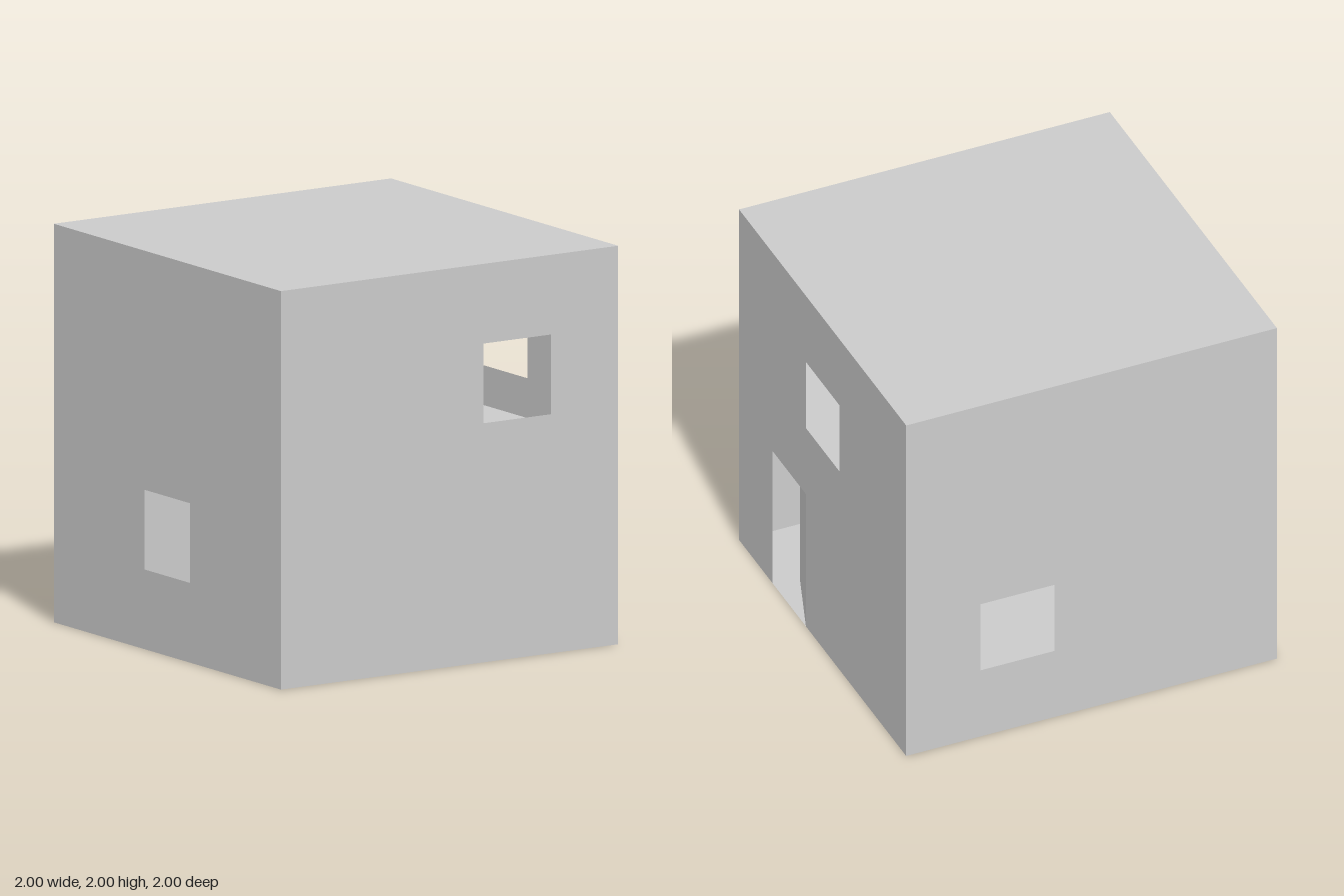
import * as THREE from 'three';

const material = new THREE.MeshStandardMaterial({ color: 0xcccccc, side: THREE.DoubleSide, flatShading: true });

// Rectangular window opening, given by its left and bottom edge
function windowHole(u, y, size = 0.4) {
  return new THREE.Path([[u, y], [u, y + size], [u + size, y + size], [u + size, y]]
    .map(([a, b]) => new THREE.Vector2(a, b)));
}

// Thin 2 x 2 wall facing outwards at the given turn about y
function makeWall(name, turn, windows, doorway = []) {
  const outline = [[-1, 0], ...doorway, [1, 0], [1, 2], [-1, 2]];
  const shape = new THREE.Shape(outline.map(([a, b]) => new THREE.Vector2(a, b)));
  for (const [u, y] of windows) shape.holes.push(windowHole(u, y));
  const geometry = new THREE.ShapeGeometry(shape).translate(0, 0, 1).rotateY(turn);
  const mesh = new THREE.Mesh(geometry, material);
  mesh.name = name;
  return mesh;
}

// Thin horizontal slab
function makeSlab(name, y, facing) {
  const geometry = new THREE.PlaneGeometry(2, 2).rotateX(-facing * Math.PI / 2).translate(0, y, 0);
  const mesh = new THREE.Mesh(geometry, material);
  mesh.name = name;
  return mesh;
}

export function createModel() {
  const house = new THREE.Group();
  house.name = 'house';

  // Outer walls: upper windows on front and door side, lower ones opposite
  const doorway = [[-0.6, 0], [-0.6, 0.8], [-0.2, 0.8], [-0.2, 0]];
  house.add(
    makeWall('frontWall', 0, [[0.2, 1.2]]),
    makeWall('doorWall', Math.PI / 2, [[-0.2, 1.2]], doorway),
    makeWall('backWall', Math.PI, [[-0.6, 0.4]]),
    makeWall('sideWall', -Math.PI / 2, [[-0.2, 0.4]]),
  );

  // Ground floor, upper floor and flat roof
  house.add(makeSlab('groundFloor', 0, -1), makeSlab('upperFloor', 1, 1), makeSlab('roof', 2, 1));

  // Door leaf, hinged on the doorway's rear edge and ajar inwards by 20 degrees
  const door = new THREE.Mesh(new THREE.PlaneGeometry(0.38, 0.8).translate(0.19, 0.4, 0), material);
  door.name = 'door';
  door.position.set(1, 0, 0.2);
  door.rotation.y = THREE.MathUtils.degToRad(-110);
  house.add(door);

  return house;
}
